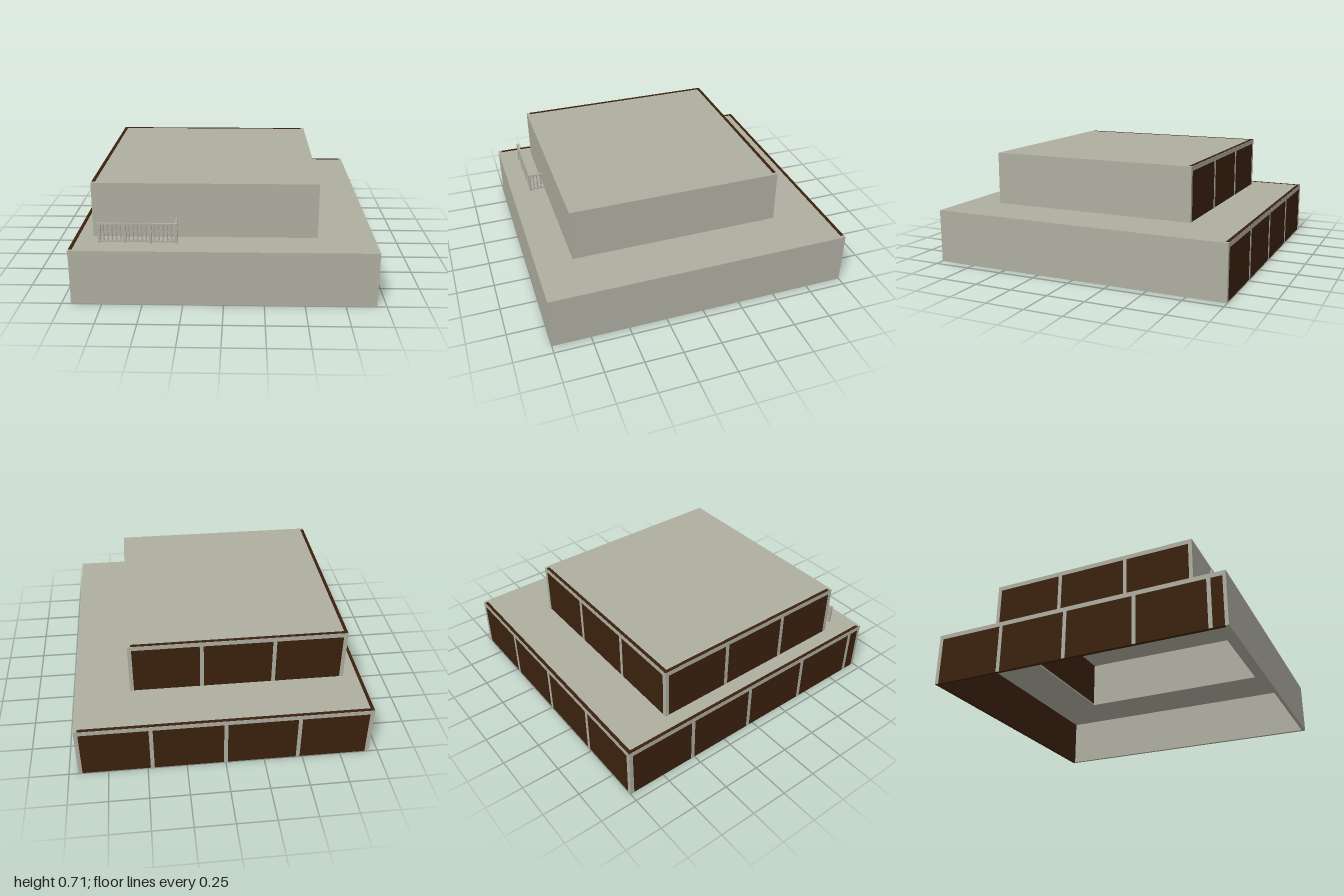
import * as THREE from 'three';

const stone = new THREE.MeshStandardMaterial({ color: 0xaeada0 });
stone.name = 'greyStone';
const brown = new THREE.MeshStandardMaterial({ color: 0x3b210e });
brown.name = 'darkBrown';

const H = 0.353; // storey height
const T = 0.022; // wall thickness
const BAY = 0.47; // spacing of the facade posts
const EPS = 0.002; // how far trim stands proud

function add(group, name, geometry, material) {
  const mesh = new THREE.Mesh(geometry, material);
  mesh.name = name;
  group.add(mesh);
  return mesh;
}

// Box given by its minimum and maximum corners
function block(group, name, material, x0, x1, y0, y1, z0, z1) {
  const mesh = add(group, name, new THREE.BoxGeometry(x1 - x0, y1 - y0, z1 - z0), material);
  mesh.position.set((x0 + x1) / 2, (y0 + y1) / 2, (z0 + z1) / 2);
  return mesh;
}

// Flat slab, with an optional rectangular opening
function roofSlab(group, r, top, hole) {
  const thick = 0.014;
  const rect = (Kind, a, b, c, d) => new Kind([
    new THREE.Vector2(a, -c), new THREE.Vector2(a, -d),
    new THREE.Vector2(b, -d), new THREE.Vector2(b, -c),
  ]);
  const shape = rect(THREE.Shape, r.x0 + T, r.x1 - T, r.z0 + T, r.z1 - T);
  if (hole) shape.holes.push(rect(THREE.Path, hole.x0 + T, hole.x1 - T, hole.z0 + T, hole.z1 - T));
  const geometry = new THREE.ExtrudeGeometry(shape, { depth: thick, bevelEnabled: false });
  geometry.rotateX(-Math.PI / 2);
  add(group, 'roofSlab', geometry, stone).position.y = top - thick;
}

// One storey: plain front and right walls, panelled back and left walls
function storey(name, r, y, hole) {
  const g = new THREE.Group();
  g.name = name;
  const top = y + H;
  const { x0, x1, z0, z1 } = r;
  block(g, 'frontWall', stone, x0, x1, y, top, z1 - T, z1);
  block(g, 'rightWall', stone, x1 - T, x1, y, top, z0, z1 - T);
  block(g, 'backPanel', brown, x0, x1 - T, y, top + 0.001, z0, z0 + T);
  block(g, 'leftPanel', brown, x0, x0 + T, y, top + 0.001, z0 + T, z1 - T);
  roofSlab(g, r, top, hole);

  // Top beams and evenly spaced posts on the panelled sides
  const beam = 0.03, half = 0.0125;
  block(g, 'backBeam', stone, x0, x1, top - beam, top, z0 - EPS, z0);
  block(g, 'leftBeam', stone, x0 - EPS, x0, top - beam, top, z0, z1);
  const clampPost = (v, a, b) => Math.min(Math.max(v, a + half), b - half);
  for (let i = 0; x0 + i * BAY < x1 + half; i++) {
    const x = clampPost(x0 + i * BAY, x0, x1);
    block(g, 'backPost', stone, x - half, x + half, y, top - beam, z0 - EPS, z0);
  }
  for (let i = 0; z0 + i * BAY < z1 + half; i++) {
    const z = clampPost(z0 + half + i * BAY, z0, z1);
    block(g, 'leftPost', stone, x0 - EPS, x0, y, top - beam, z - half, z + half);
  }
  return g;
}

// Balustrade along the terrace with a short return to the upper wall
function balustrade(y, wallZ) {
  const g = new THREE.Group();
  g.name = 'balustrade';
  const xs = [-0.768, -0.611, -0.454, -0.297];
  const z = 0.863, height = 0.13, p = 0.009, rail = 0.006;

  const profile = [
    [0.006, 0], [0.006, 0.008], [0.003, 0.014], [0.0065, 0.034], [0.0035, 0.058],
    [0.003, 0.072], [0.0055, 0.08], [0.003, 0.088], [0.006, 0.1],
  ].map(([a, b]) => new THREE.Vector2(a, b));
  const turned = new THREE.LatheGeometry(profile, 8);
  const baluster = (x, bz) => add(g, 'baluster', turned, stone).position.set(x, y + 0.016, bz);

  for (const x of xs) block(g, 'railingPost', stone, x - p, x + p, y, y + height, z - p, z + p);
  for (const [a, b] of [[0.006, 0.016], [0.116, 0.128]]) {
    block(g, 'frontRail', stone, xs[0], xs[3], y + a, y + b, z - rail, z + rail);
    block(g, 'returnRail', stone, xs[3] - rail, xs[3] + rail, y + a, y + b, wallZ, z);
  }
  for (let bay = 0; bay < 3; bay++) {
    for (let i = 1; i <= 5; i++) baluster(xs[bay] + (i * (xs[bay + 1] - xs[bay])) / 6, z);
  }
  for (let i = 1; i <= 3; i++) baluster(xs[3], z - (i * (z - wallZ)) / 4);
  return g;
}

export function createModel() {
  const model = new THREE.Group();
  model.name = 'steppedBuilding';
  const lower = { x0: -0.94, x1: 0.94, z0: -0.998, z1: 1 };
  const upper = { x0: -0.823, x1: 0.585, z0: -0.643, z1: 0.763 };
  model.add(storey('lowerStorey', lower, 0, upper));
  model.add(storey('upperStorey', upper, H, null));
  model.add(balustrade(H, upper.z1));
  return model;
}
